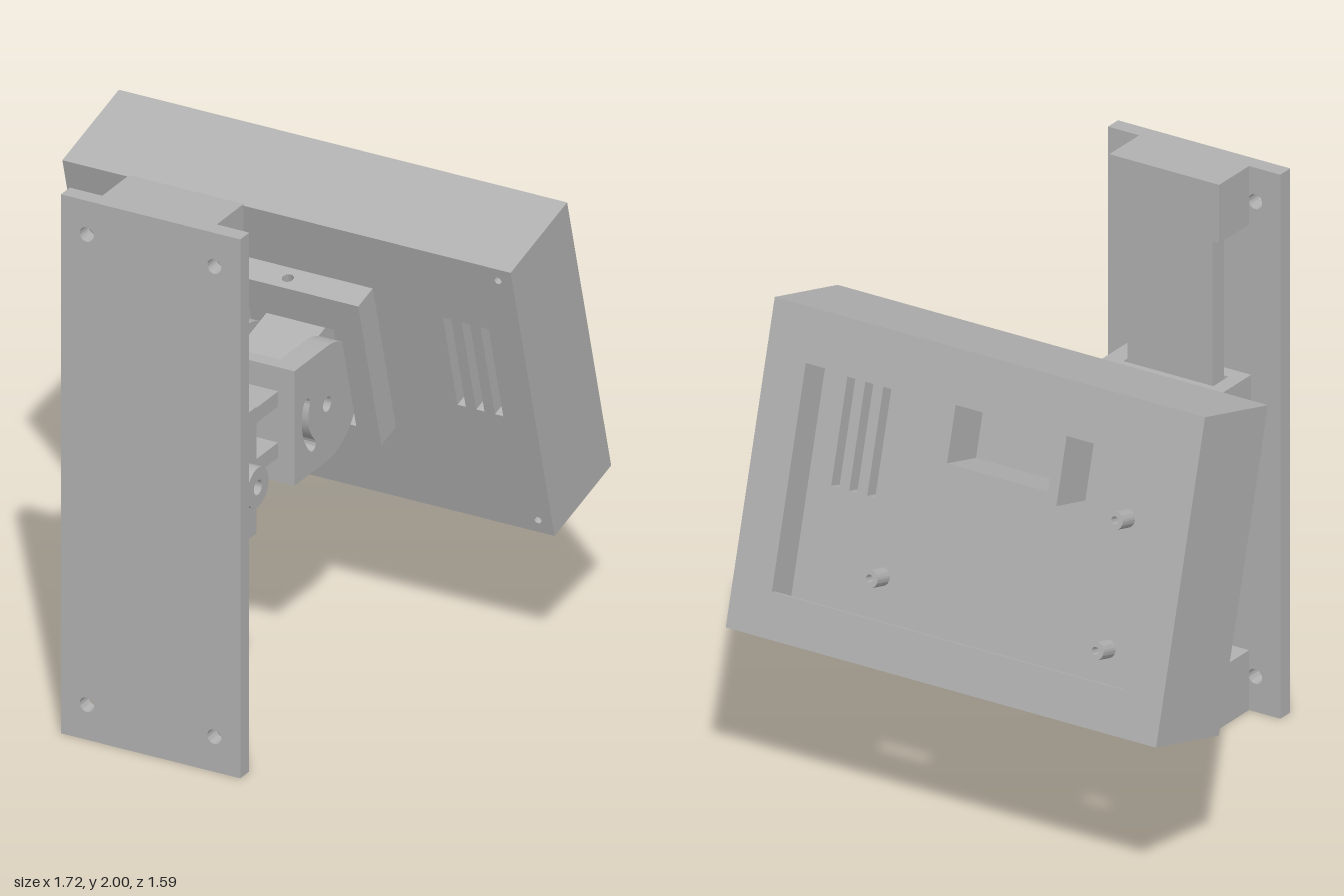
import * as THREE from 'three';
import { toCreasedNormals } from 'three/addons/utils/BufferGeometryUtils.js';

const grey = new THREE.MeshStandardMaterial({ color: 0xb0b0b0 });
grey.name = 'grey';

function add(parent, name, geometry) {
  const mesh = new THREE.Mesh(geometry, grey);
  mesh.name = name;
  parent.add(mesh);
  return mesh;
}

// Box given by its limits on each axis
function box(parent, name, [x0, x1], [y0, y1], [z0, z1]) {
  const mesh = add(parent, name, new THREE.BoxGeometry(x1 - x0, y1 - y0, z1 - z0));
  mesh.position.set((x0 + x1) / 2, (y0 + y1) / 2, (z0 + z1) / 2);
  return mesh;
}

const poly = (points) => new THREE.Shape(points.map(([a, b]) => new THREE.Vector2(a, b)));
const rect = (a0, a1, b0, b1) => poly([[a0, b0], [a1, b0], [a1, b1], [a0, b1]]);
const circle = (a, b, r) => new THREE.Shape().absarc(a, b, r, 0, Math.PI * 2, false);

// Extrude a shape between two limits along an axis.
// Shape axes: along z = (x, y), along x = (z, y), along y = (x, z)
function extrude(parent, name, shape, axis, from, to, holes = []) {
  shape.holes.push(...holes);
  let g = new THREE.ExtrudeGeometry(shape, { depth: to - from, bevelEnabled: false, curveSegments: 24 });
  g.translate(0, 0, -(to - from) / 2);
  if (axis === 'x') g.rotateY(-Math.PI / 2);
  if (axis === 'y') g.rotateX(Math.PI / 2);
  g = toCreasedNormals(g, 0.5);
  const mesh = add(parent, name, g);
  mesh.position[axis] = (from + to) / 2;
  return mesh;
}

function buildRail(parent) {
  const rail = new THREE.Group();
  rail.name = 'wallRail';
  parent.add(rail);
  const screws = [];
  for (const x of [-0.245, 0.245]) for (const y of [0.13, 1.875]) screws.push(circle(x, y, 0.027));
  extrude(rail, 'wallPlate', rect(-0.345, 0.345, 0, 2), 'z', 0.735, 0.795, screws);
  box(rail, 'lowerEndBlock', [-0.22, 0.22], [0, 0.22], [0.555, 0.735]);
  box(rail, 'upperEndBlock', [-0.22, 0.22], [1.785, 2], [0.555, 0.735]);
  // T-shaped rail with a row of blind pin holes
  box(rail, 'railNeck', [-0.1, 0.1], [0.22, 1.785], [0.66, 0.735]);
  box(rail, 'railHead', [-0.17, 0.1], [0.22, 1.785], [0.59, 0.66]);
  const pins = [];
  for (let i = -4; i <= 4; i++) pins.push(circle(0.625, 1 + i * 0.137, 0.027));
  extrude(rail, 'railPinSide', rect(0.59, 0.66, 0.22, 1.785), 'x', 0.1, 0.17, pins);
}

function buildCarriage(parent) {
  const carriage = new THREE.Group();
  carriage.name = 'slidingCarriage';
  parent.add(carriage);
  // C-shaped slider wrapped around the rail head
  const profile = poly([[-0.235, 0.52], [0.25, 0.52], [0.25, 0.725], [0.115, 0.725], [0.115, 0.67],
    [0.18, 0.67], [0.18, 0.58], [-0.18, 0.58], [-0.18, 0.67], [-0.115, 0.67], [-0.115, 0.725], [-0.235, 0.725]]);
  extrude(carriage, 'slider', profile, 'y', 0.77, 1.24);
  extrude(carriage, 'pinBoss', circle(0.625, 1, 0.072), 'x', 0.25, 0.315, [circle(0.625, 1, 0.027)]);
  for (const y of [0.88, 1.07]) box(carriage, 'arm', [-0.138, 0.138], [y, y + 0.056], [0.175, 0.525]);

  // Clevis with rounded cheeks, pivot hole and curved adjustment slot
  const pz = -0.04, py = 1.0;
  box(carriage, 'clevisBase', [-0.115, 0.115], [0.79, 1.215], [0.125, 0.18]);
  for (const x of [-0.2, 0.115]) {
    const cheek = new THREE.Shape();
    cheek.moveTo(0.18, 0.79);
    cheek.lineTo(0.18, 1.215);
    cheek.lineTo(pz, 1.215);
    cheek.absarc(pz, 1.0025, 0.2125, Math.PI / 2, Math.PI * 1.5, false);
    const a = 0.38, b = -0.85, r = 0.148, w = 0.022;
    const slot = new THREE.Path();
    slot.absarc(pz, py, r + w, b, a, false);
    slot.absarc(pz + r * Math.cos(a), py + r * Math.sin(a), w, a, a + Math.PI, false);
    slot.absarc(pz, py, r - w, a, b, true);
    slot.absarc(pz + r * Math.cos(b), py + r * Math.sin(b), w, b + Math.PI, b + Math.PI * 2, false);
    extrude(carriage, 'clevisCheek', cheek, 'x', x, x + 0.085, [circle(pz, py, 0.027), slot]);
  }
}

function buildDisplay(parent) {
  // Local +z faces the wall plate, -z is the screen side
  const display = new THREE.Group();
  display.name = 'tiltedDisplay';
  display.position.set(-0.001, 1.115, -0.455);
  display.rotation.x = Math.PI / 12;
  parent.add(display);
  const W = 0.862, H = 0.57, D = 0.196, t = 0.035, floor = 0.136;

  // Mounting side wall with vents and screw holes
  const holes = [0.56, 0.632, 0.704].map((x) => rect(x, x + 0.032, -0.087, 0.29));
  for (const v of [-0.517, 0.52]) holes.push(circle(0.805, v, 0.014));
  extrude(display, 'caseWall', rect(-W, W, -H, H), 'z', floor, D, holes);

  // Sides, with ports cut into the bottom
  const inner = -0.1;
  box(display, 'caseTop', [-W, W], [H - t, H], [inner, floor]);
  for (const s of [-1, 1]) {
    box(display, 'caseSide', s < 0 ? [-W, t - W] : [W - t, W], [t - H, H - t], [inner, floor]);
  }
  const ports = [rect(0.145, 0.365, -0.022, 0.085), rect(-0.56, -0.43, 0.055, 0.12)];
  for (let i = 0; i < 5; i++) ports.push(rect(0.433 + i * 0.045, 0.456 + i * 0.045, -0.012, 0.08));
  extrude(display, 'caseBottom', rect(-W, W, inner, floor), 'y', -H, t - H, ports);

  // Stepped bezel around the screen opening
  extrude(display, 'bezel', rect(-W, W, -H, H), 'z', -D, -0.176, [rect(-0.705, 0.705, -0.41, 0.38)]);
  extrude(display, 'bezelStep', rect(-W, W, -H, H), 'z', -0.176, inner, [rect(-0.715, 0.715, -0.435, 0.395)]);

  // Inner U-shaped pocket, posts and corner block
  const pocket = poly([[-0.25, 0.1], [0.235, 0.1], [0.235, 0.5], [0.195, 0.5], [0.195, 0.14],
    [-0.21, 0.14], [-0.21, 0.5], [-0.25, 0.5]]);
  extrude(display, 'innerPocket', pocket, 'z', -0.045, floor);
  for (const [x, v] of [[0.49, -0.34], [-0.42, 0.08], [-0.42, -0.37]]) {
    extrude(display, 'boardPost', circle(x, v, 0.032), 'z', 0.06, floor, [circle(x, v, 0.014)]);
  }
  box(display, 'cornerBlock', [-0.77, -0.67], [0.36, 0.44], [0, floor]);

  // Raised bracket with a clearance pocket for the clevis
  const z0 = D, z1 = 0.297, x = 0.298;
  extrude(display, 'bracketTop', rect(-x, x, z0, z1), 'y', 0.21, 0.343, [circle(0, 0.247, 0.02)]);
  box(display, 'bracketBottom', [-x, x], [-0.257, -0.2], [z0, z1]);
  for (const s of [-1, 1]) {
    box(display, 'bracketSide', s < 0 ? [-x, -0.21] : [0.21, x], [-0.2, 0.21], [z0, z1]);
  }

  // Rounded pivot tongue
  const tongue = new THREE.Shape();
  tongue.moveTo(z0, -0.164);
  tongue.lineTo(0.431, -0.164);
  tongue.absarc(0.431, -0.004, 0.16, -Math.PI / 2, Math.PI / 2, false);
  tongue.lineTo(z0, 0.156);
  extrude(display, 'pivotTongue', tongue, 'x', -0.113, 0.113, [circle(0.431, -0.004, 0.027)]);
}

export function createModel() {
  const model = new THREE.Group();
  model.name = 'adjustableDisplayMount';
  buildRail(model);
  buildCarriage(model);
  buildDisplay(model);
  return model;
}
